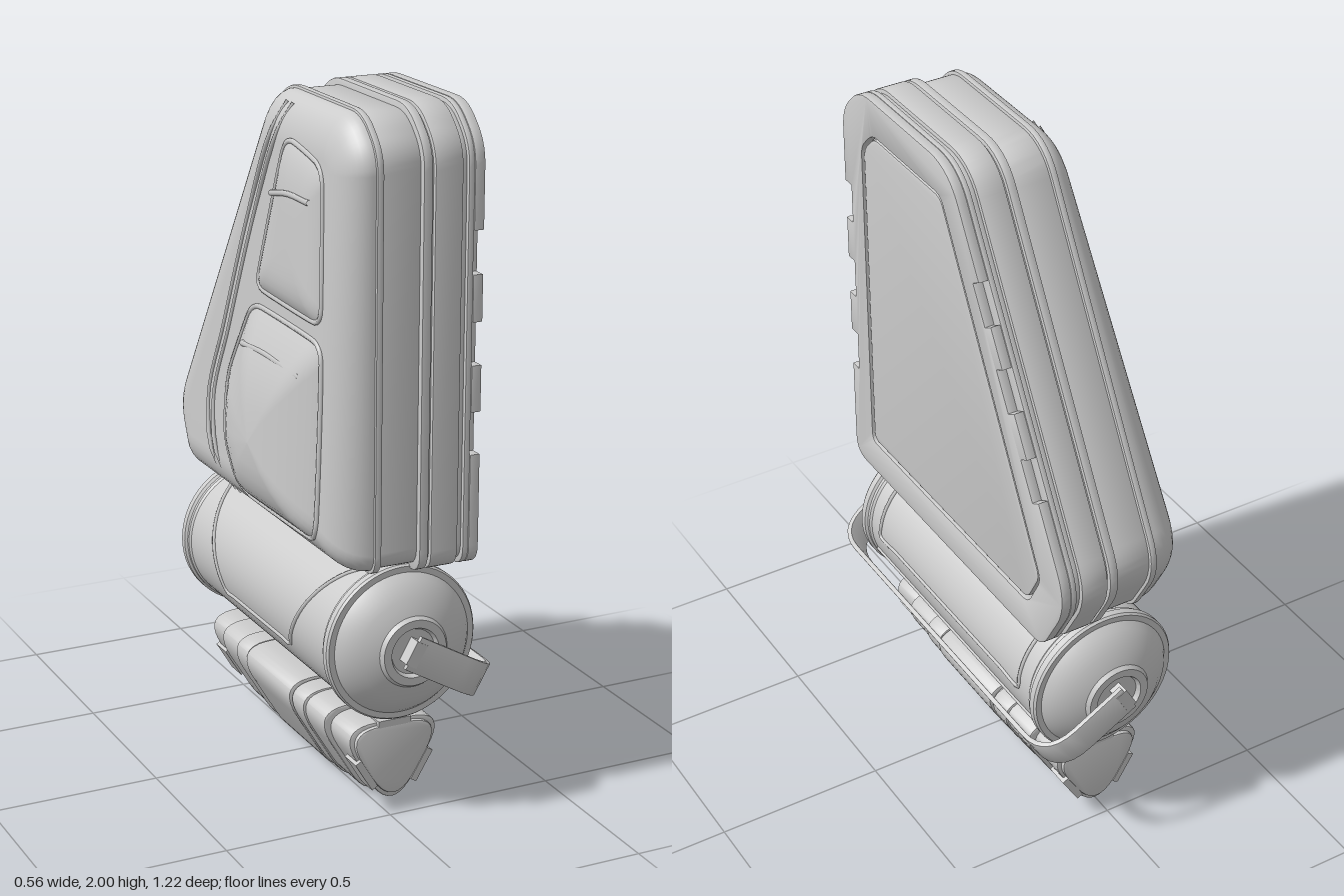
import * as THREE from 'three';
import { toCreasedNormals } from 'three/addons/utils/BufferGeometryUtils.js';

const grey = new THREE.MeshStandardMaterial({ color: 0xcccccc });
const V2 = (x, y) => new THREE.Vector2(x, y);
const V3 = (x, y, z) => new THREE.Vector3(x, y, z);

function add(parent, name, geometry) {
  const mesh = new THREE.Mesh(geometry, grey);
  mesh.name = name;
  parent.add(mesh);
  return mesh;
}

// Counter-clockwise corners [u, v, radius] -> rounded loop, moved inwards by inset
function outline(corners, inset = 0, steps = 7) {
  const n = corners.length;
  const dirs = corners.map((c, i) => {
    const d = corners[(i + 1) % n];
    return V2(d[0] - c[0], d[1] - c[1]).normalize();
  });
  const moved = corners.map(([u, v], i) => {
    const a = dirs[(i + n - 1) % n], b = dirs[i];
    const k = inset / (1 + a.dot(b));
    return V2(u - (a.y + b.y) * k, v + (a.x + b.x) * k);
  });
  const loop = [];
  moved.forEach((p, i) => {
    const prev = moved[(i + n - 1) % n], next = moved[(i + 1) % n];
    if (!corners[i][2]) return loop.push(p);
    const r = Math.min(Math.max(corners[i][2] - inset * 0.3, 0.01),
      p.distanceTo(prev) * 0.48, p.distanceTo(next) * 0.48);
    const s = p.clone().addScaledVector(dirs[(i + n - 1) % n], -r);
    const e = p.clone().addScaledVector(dirs[i], r);
    loop.push(...new THREE.QuadraticBezierCurve(s, p, e).getPoints(steps));
  });
  return loop;
}

// Prism with softened edges, running from 0 to depth along z
function prism(loop, depth, bevel = 0.005, hole) {
  const shape = new THREE.Shape(loop);
  if (hole) shape.holes.push(new THREE.Path(hole));
  const g = new THREE.ExtrudeGeometry(shape, {
    depth: depth - 2 * bevel, bevelEnabled: bevel > 0, bevelThickness: bevel,
    bevelSize: bevel, bevelOffset: -bevel, bevelSegments: 2,
  });
  g.translate(0, 0, bevel);
  return toCreasedNormals(g, 0.5);
}

// Prism drawn in (z, y) and spanning x0..x1
const slab = (loop, x0, x1, bevel, hole) =>
  prism(loop, x1 - x0, bevel, hole).rotateY(-Math.PI / 2).translate(x1, 0, 0);

const tube = (points, r, closed = false) => new THREE.TubeGeometry(
  new THREE.CatmullRomCurve3(points, closed), points.length * 4, r, 6, closed);

// Smooth skin over rings of equal point count
function loft(rings) {
  const n = rings[0].length, index = [];
  for (let k = 0; k < rings.length - 1; k++) for (let i = 0; i < n; i++) {
    const a = k * n + i, b = k * n + (i + 1) % n;
    index.push(a, b, b + n, a, b + n, a + n);
  }
  const g = new THREE.BufferGeometry().setFromPoints(rings.flat());
  g.setIndex(index);
  g.computeVertexNormals();
  return g;
}

// Edge from p to q interrupted by rectangular notches
function notchedEdge(p, q, centres, half = 0.06, depth = 0.035) {
  const d = V2(q[0] - p[0], q[1] - p[1]).normalize();
  const at = (s, t) => [p[0] + d.x * s - d.y * t, p[1] + d.y * s + d.x * t, 0];
  return [p, ...centres.flatMap(c =>
    [at(c - half, 0), at(c - half, depth), at(c + half, depth), at(c + half, 0)])];
}

const caseCorners = [[0.56, 0.73, 0.06], [0.56, 1.9, 0.06], [0.46, 2, 0.06],
  [-0.022, 2, 0.1], [-0.625, 0.95, 0.1], [-0.5, 0.73, 0.05]];
const panelCorners = [[0.455, 0.835, 0.03], [0.455, 1.83, 0.03], [0.39, 1.895, 0.03],
  [0.02, 1.895, 0.03], [-0.49, 0.955, 0.03], [-0.425, 0.835, 0.03]];

const ROUND = 0.13, BASE = -0.075;
const bulge = y => 0.13 - 0.046 * (y - 0.8);

// Surface of the soft cover above a point (z, y)
function coverX(z, y) {
  let d = ROUND;
  caseCorners.forEach((p, i) => {
    const q = caseCorners[(i + 1) % caseCorners.length];
    const e = V2(q[0] - p[0], q[1] - p[1]).normalize();
    d = Math.min(d, (y - p[1]) * e.x - (z - p[0]) * e.y - 0.015);
  });
  const t = 1 - Math.max(d, 0) / ROUND;
  return BASE - bulge(y) * Math.sqrt(1 - Math.min(t, 1) ** 2);
}

function buildCase() {
  const g = new THREE.Group();
  g.name = 'case';
  const [a, b, c, d, e, f] = caseCorners;
  const notched = [...notchedEdge(a, b, [0.38, 0.63, 0.88]), b, c,
    ...notchedEdge(d, e, [0.37, 0.607, 0.855]), e, f];
  add(g, 'notchedFrame', slab(outline(notched), 0.2, 0.23, 0.003, outline(panelCorners)));
  add(g, 'backPanel', slab(outline(panelCorners, 0.009), 0.19, 0.228, 0.006));
  // Stacked shell layers: name, x from, x to, inset
  [['backPlate', 0.182, 0.2, 0], ['backGroove', 0.16, 0.185, 0.012],
    ['middleShell', 0.084, 0.166, 0], ['middleGroove', 0.07, 0.09, 0.012],
    ['shellRim', 0.05, 0.077, 0], ['frontShell', -0.075, 0.055, 0.018],
    ['coverBead', -0.08, -0.06, 0.008]].forEach(([name, x0, x1, inset]) =>
    add(g, name, slab(outline(caseCorners, inset), x0, x1, 0.004)));

  // Soft domed cover
  const rings = [];
  for (let k = 0; k <= 10; k++) {
    const q = k / 10 * Math.PI / 2;
    rings.push(outline(caseCorners, 0.015 + ROUND * (1 - Math.cos(q)))
      .map(p => V3(BASE - bulge(p.y) * Math.sin(q), p.y, p.x)));
  }
  const inner = rings[10];
  for (const s of [0.8, 0.5, 0.25, 0.001]) rings.push(inner.map(p => {
    const y = 1.25 + (p.y - 1.25) * s;
    return V3(BASE - bulge(y), y, 0.07 + (p.z - 0.07) * s);
  }));
  add(g, 'softCover', loft(rings));

  // Twin seam along the sloping side
  const seam = [[0.1, 1.96], [0.06, 1.87], [-0.07, 1.6], [-0.2, 1.27], [-0.29, 1.03], [-0.25, 0.87], [-0.19, 0.77]];
  for (const o of [0, 0.035]) add(g, 'coverSeam', tube(
    seam.map(([z, y]) => V3(coverX(z + o, y), y, z + o)), 0.007));

  // Pockets with piping and a zip line
  const pocket = (name, corners, cz, cy, height, power, zip) => {
    const loop = outline(corners, 0, 5);
    const skin = [1, 0.97, 0.93, 0.87, 0.78, 0.65, 0.5, 0.3, 0.001].map(s => loop.map(p => {
      const z = cz + (p.x - cz) * s, y = cy + (p.y - cy) * s;
      return V3(coverX(z, y) - height * (1 - s ** power), y, z);
    }));
    add(g, name, loft(skin));
    add(g, name + 'Piping', tube(skin[0], 0.008, true));
    add(g, name + 'Zip', tube(zip.map(([z, y, out]) => V3(coverX(z, y) - out, y, z)), 0.009));
  };
  pocket('upperPocket', [[0.42, 1.42, 0.05], [0.39, 1.84, 0.06], [0.16, 1.88, 0.06], [0.01, 1.43, 0.05]],
    0.24, 1.6, 0.028, 5, [[0.13, 1.72, 0.024], [0.24, 1.74, 0.025], [0.36, 1.74, 0.021]]);
  pocket('lowerPocket', [[0.44, 0.82, 0.07], [0.43, 1.37, 0.06], [-0.01, 1.38, 0.06],
    [-0.16, 1.13, 0.06], [-0.17, 0.95, 0.06], [-0.05, 0.81, 0.06]],
  0.15, 1.03, 0.078, 2.3, [[0, 1.27, 0.034], [0.15, 1.28, 0.036], [0.36, 1.27, 0.03]]);
  return g;
}

function buildCanister() {
  const g = new THREE.Group();
  g.name = 'canister';
  g.position.set(0.028, 0.517, 0);
  const half = [[0.001, 0.572], [0.065, 0.572], [0.072, 0.586], [0.095, 0.586], [0.103, 0.574], [0.15, 0.557],
    [0.19, 0.525], [0.205, 0.505], [0.222, 0.505], [0.227, 0.498], [0.227, 0.478], [0.22, 0.472],
    [0.22, 0.462], [0.215, 0.455]];
  const profile = [...half.map(([r, z]) => V2(r, -z)), ...half.map(([r, z]) => V2(r, z)).reverse()];
  add(g, 'canisterBody', toCreasedNormals(new THREE.LatheGeometry(profile, 64).rotateX(Math.PI / 2), 0.5));

  // Piping laid on the round wall: corners are [z, angle]
  const piping = (name, pts) => {
    const path = [];
    pts.forEach(([z, a], i) => {
      const [z2, a2] = pts[(i + 1) % pts.length];
      for (let k = 0; k < 8; k++) {
        const t = k / 8, q = THREE.MathUtils.degToRad(a + (a2 - a) * t);
        path.push(V3(0.216 * Math.cos(q), 0.216 * Math.sin(q), z + (z2 - z) * t));
      }
    });
    add(g, name, tube(path, 0.006, true));
  };
  piping('sidePanelPiping', [[-0.4, 0], [0.4, 0], [0.4, 68], [-0.4, 68]]);
  piping('outerFlapPiping', [[-0.42, 110], [0.42, 110], [0.22, 200], [-0.22, 200]]);
  piping('bottomPiping', [[-0.46, -25], [0.46, -25], [0.4, -55], [-0.4, -55]]);

  // Carrying strap bent around both ends, with buckles
  const strap = new THREE.Group();
  strap.name = 'strap';
  strap.rotation.z = -Math.PI / 6;
  g.add(strap);
  const t = 0.014, c = 0.12;
  const loop = outline([[-0.02, -0.61, 0], [0.272, -0.61, c], [0.272, 0.61, c], [-0.02, 0.61, 0],
    [-0.02, 0.61 - t, 0], [0.272 - t, 0.61 - t, c - t], [0.272 - t, t - 0.61, c - t], [-0.02, t - 0.61, 0]]);
  add(strap, 'strapBand', prism(loop, 0.1, 0.002).rotateX(Math.PI / 2).translate(0, 0.05, 0));
  for (const s of [-1, 1]) {
    const buckle = add(strap, 'buckle', new THREE.BoxGeometry(0.035, 0.07, 0.04));
    buckle.position.set(-0.01, 0, s * 0.592);
  }
  return g;
}

function buildFlask() {
  const g = new THREE.Group();
  g.name = 'triangularFlask';
  const tri = [[0.022, -0.06, 0.14], [0.235, 0.295, 0.13], [-0.191, 0.295, 0.13]];
  const section = (name, z0, z1, inset) =>
    add(g, name, prism(outline(tri, inset, 10), z1 - z0, 0.005).translate(0, 0, z0));
  section('flaskCore', -0.46, 0.46, 0.024);
  section('flaskMiddle', -0.15, 0.15, 0);
  for (const s of [-1, 1]) {
    const both = (name, a, b, inset) => section(name, Math.min(s * a, s * b), Math.max(s * a, s * b), inset);
    both('flaskBand', 0.157, 0.232, 0.003);
    both('flaskShoulder', 0.14, 0.35, 0.008);
    both('flaskCap', 0.34, 0.468, 0.021);
    both('flaskEnd', 0.46, 0.48, 0.03);
    // Clips on the three flats of each cap
    [[0.022, 0.27, 0], [0.108, 0.124, 1.03], [-0.064, 0.124, -1.03]].forEach(([x, y, a]) => {
      const clip = add(g, 'capClip', new THREE.BoxGeometry(0.1, 0.02, 0.07));
      clip.position.set(x, y, s * 0.445);
      clip.rotation.z = a;
    });
  }
  return g;
}

export function createModel() {
  const model = new THREE.Group();
  model.name = 'travelPack';
  model.add(buildCase(), buildCanister(), buildFlask());
  return model;
}
